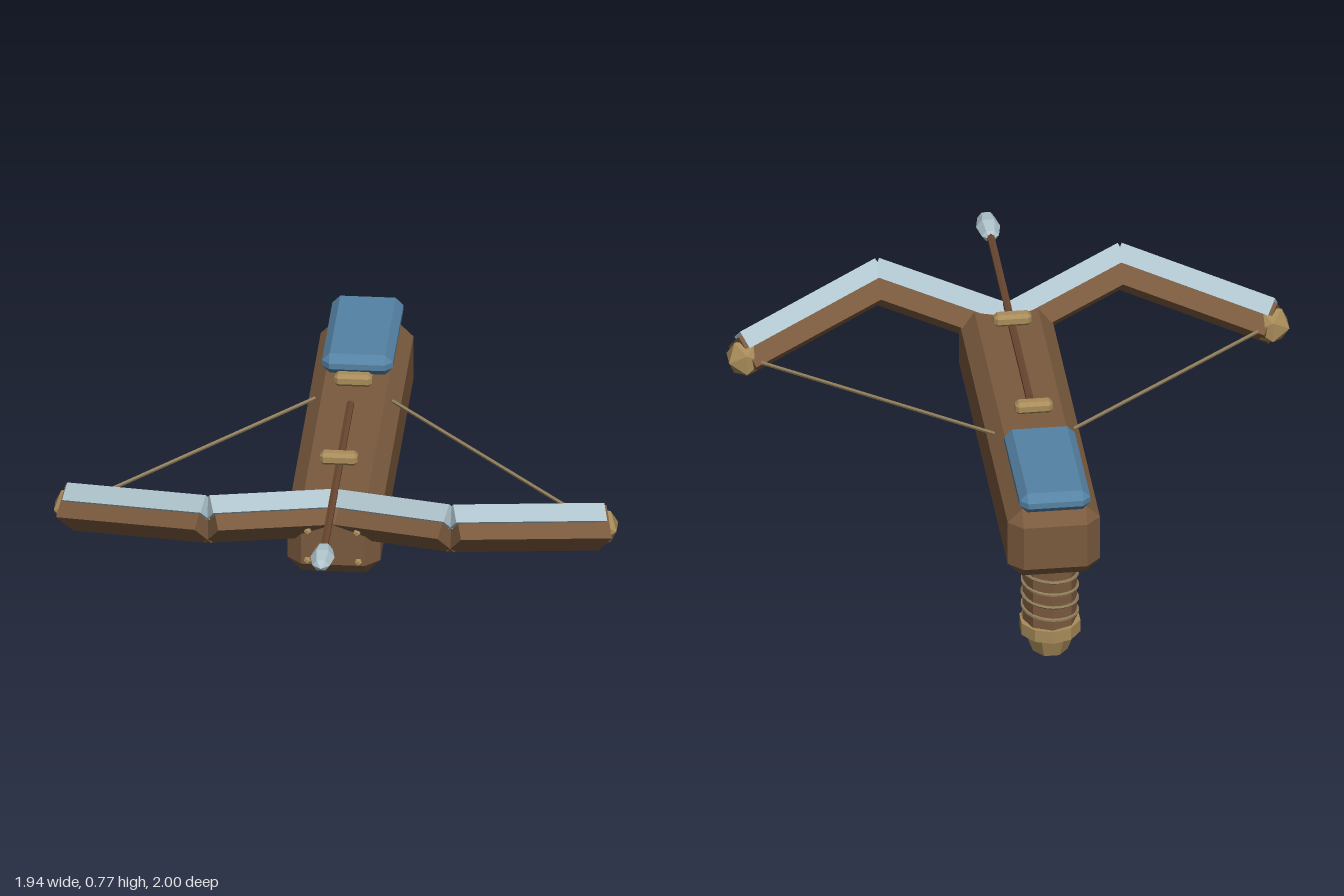
import * as THREE from 'three';
import { ConvexGeometry } from 'three/addons/geometries/ConvexGeometry.js';

const V = (x, y, z) => new THREE.Vector3(x, y, z);

function material(name, color) {
  const m = new THREE.MeshStandardMaterial({ color, flatShading: true });
  m.name = name;
  return m;
}

// Box with every edge and corner cut at 45 degrees
function chamferedBox(w, h, d, c) {
  const pts = [];
  for (const sx of [-1, 1]) for (const sy of [-1, 1]) for (const sz of [-1, 1]) {
    const x = w / 2, y = h / 2, z = d / 2;
    pts.push(V(sx * x, sy * (y - c), sz * (z - c)), V(sx * (x - c), sy * y, sz * (z - c)),
      V(sx * (x - c), sy * (y - c), sz * z));
  }
  return new ConvexGeometry(pts);
}

export function createModel() {
  const wood = material('wood', 0x7a5a3e);
  const darkWood = material('darkWood', 0x6c4831);
  const steel = material('steel', 0xb0c5ce);
  const brass = material('brass', 0xa88c5a);
  const cord = material('cord', 0x8f7d5a);
  const blue = material('bluePad', 0x5582a4);
  const model = new THREE.Group();
  model.name = 'crossbow';

  function add(name, geometry, mat, x = 0, y = 0, z = 0) {
    const mesh = new THREE.Mesh(geometry, mat);
    mesh.name = name;
    mesh.position.set(x, y, z);
    model.add(mesh);
    return mesh;
  }

  // Square bar between two points, resting on its edge like a diamond
  function diamondBar(name, a, b, side, mat) {
    const d = b.clone().sub(a);
    const geo = new THREE.BoxGeometry(side, side, d.length()).rotateZ(Math.PI / 4);
    const mid = a.clone().add(b).multiplyScalar(0.5);
    add(name, geo, mat, mid.x, mid.y, mid.z).lookAt(b);
  }

  // Thin round cord between two points
  function rod(name, a, b, r, mat, sides) {
    add(name, new THREE.TubeGeometry(new THREE.LineCurve3(a, b), 1, r, sides), mat);
  }

  // Stock and padded rest
  add('stock', chamferedBox(0.32, 0.265, 1.47, 0.05), wood, 0, 0.5325, -0.255);
  add('pad', chamferedBox(0.245, 0.075, 0.49, 0.027), blue, 0, 0.7075, -0.755);

  // Bow limbs, steel edges, tip knobs and strings
  for (const s of [-1, 1]) {
    const root = V(0, 0.6, 0.385), kink = V(s * 0.42, 0.675, 0.617), tip = V(s * 0.92, 0.57, 0.357);
    const raise = V(0, 0.053, 0.008);
    const up = (p) => p.clone().add(raise);
    diamondBar('innerLimb', root, kink, 0.122, wood);
    diamondBar('outerLimb', kink, tip, 0.122, wood);
    diamondBar('innerSteelEdge', up(root), up(kink), 0.066, steel);
    diamondBar('outerSteelEdge', up(kink), up(tip), 0.066, steel);
    add('tipKnob', new THREE.IcosahedronGeometry(0.07), brass, s * 0.912, 0.572, 0.35);
    rod('bowString', V(s * 0.87, 0.575, 0.31), V(s * 0.135, 0.645, -0.39), 0.007, cord, 5);

    // Rivets on the nose
    add('lowerRivet', new THREE.IcosahedronGeometry(0.014), brass, s * 0.088, 0.465, 0.482);
    add('upperRivet', new THREE.IcosahedronGeometry(0.014), brass, s * 0.085, 0.59, 0.505);
  }

  // Bolt with its faceted head
  const shaft = new THREE.CylinderGeometry(0.014, 0.014, 1.1, 6).rotateX(Math.PI / 2);
  add('boltShaft', shaft, darkWood, 0, 0.7, 0.3);
  const head = new THREE.SphereGeometry(1, 6, 4).rotateX(Math.PI / 2).scale(0.042, 0.032, 0.09);
  add('boltHead', head, steel, 0, 0.7, 0.91);

  // Clips above the stock
  for (const z of [0.225, -0.37]) {
    add('clip', chamferedBox(0.13, 0.045, 0.048, 0.012), brass, 0, 0.735, z);
  }

  // Trigger ring
  add('triggerRing', new THREE.TorusGeometry(0.083, 0.01, 6, 14).rotateY(Math.PI / 2), brass, 0, 0.325, -0.425);

  // Grip with cord wrap, band and pommel
  const gz = -0.828;
  add('grip', new THREE.CylinderGeometry(0.095, 0.095, 0.28, 8), wood, 0, 0.28, gz);
  const wrap = [];
  for (let i = 0; i <= 48; i++) {
    const a = (i / 12) * Math.PI * 2;
    wrap.push(V(Math.cos(a) * 0.096, 0.165 + 0.2 * i / 48, gz + Math.sin(a) * 0.096));
  }
  add('gripWrap', new THREE.TubeGeometry(new THREE.CatmullRomCurve3(wrap), 96, 0.006, 5), cord);
  add('gripBand', new THREE.CylinderGeometry(0.107, 0.107, 0.046, 10), brass, 0, 0.138, gz);
  const pommel = [[0, 0.004], [0.062, 0.038], [0.09, 0.115], [0, 0.15]].map(([x, y]) => new THREE.Vector2(x, y));
  add('pommel', new THREE.LatheGeometry(pommel, 7), brass, 0, 0, gz);

  return model;
}
